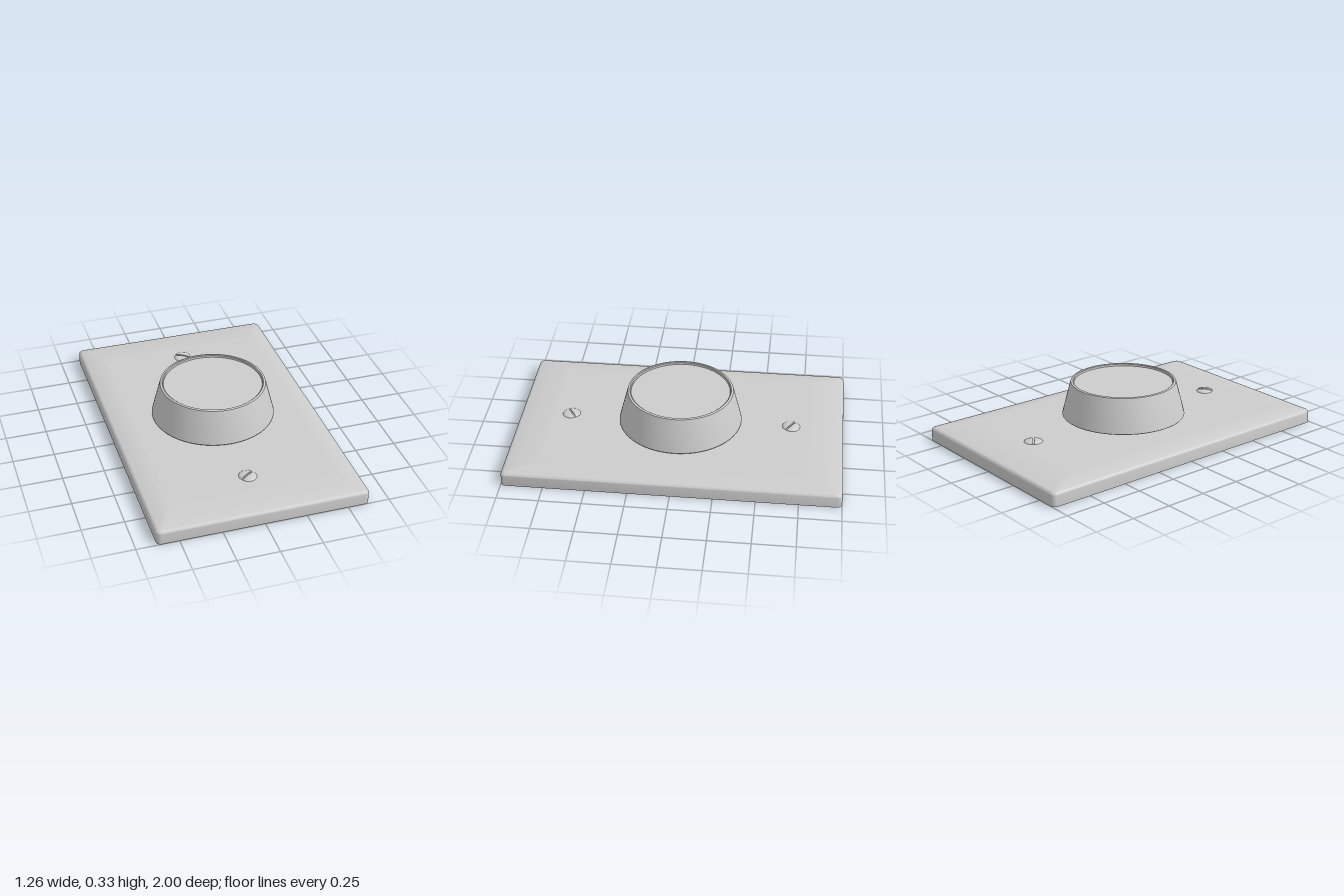
import * as THREE from 'three';
import { toCreasedNormals } from 'three/addons/utils/BufferGeometryUtils.js';

const grey = new THREE.MeshStandardMaterial({ color: 0xcccccc });
grey.name = 'light grey';

const SCREW_Z = 0.68;

function add(parent, name, geometry) {
  const mesh = new THREE.Mesh(geometry, grey);
  mesh.name = name;
  parent.add(mesh);
  return mesh;
}

const lathe = (points, segments = 64, start = 0, length = Math.PI * 2) =>
  toCreasedNormals(
    new THREE.LatheGeometry(points.map(([x, y]) => new THREE.Vector2(x, y)), segments, start, length), 0.6);

// One rounded rectangle in the horizontal plane, as a loop of points
function roundedLoop(hx, hz, y, r, steps = 6) {
  const loop = [];
  [[1, 1], [-1, 1], [-1, -1], [1, -1]].forEach(([sx, sz], corner) => {
    for (let i = 0; i <= steps; i++) {
      const a = (corner + i / steps) * Math.PI / 2;
      loop.push([sx * (hx - r) + r * Math.cos(a), y, sz * (hz - r) + r * Math.sin(a)]);
    }
  });
  return loop;
}

// Skin joining successive loops
function loft(loops) {
  const n = loops[0].length;
  const index = [];
  for (let i = 0; i < loops.length - 1; i++) {
    for (let j = 0; j < n; j++) {
      const a = i * n + j, b = i * n + (j + 1) % n;
      index.push(a, a + n, b, b, a + n, b + n);
    }
  }
  const g = new THREE.BufferGeometry();
  g.setAttribute('position', new THREE.Float32BufferAttribute(loops.flat(2), 3));
  g.setIndex(index);
  return toCreasedNormals(g, 0.6);
}

function makePlate() {
  const plate = new THREE.Group();
  plate.name = 'wallPlate';

  // Bevelled shell: inside skin down, round the rim, outside skin up (half x, half z, y, corner radius)
  add(plate, 'plateShell', loft([
    [0.50, 0.79, 0.083, 0.01],
    [0.52, 0.82, 0.083, 0.01],
    [0.605, 0.975, 0.066, 0.02],
    [0.615, 0.985, 0.058, 0.02],
    [0.615, 0.985, 0, 0.02],
    [0.63, 1, 0, 0.03],
    [0.63, 1, 0.066, 0.03],
    [0.628, 0.998, 0.074, 0.03],
    [0.623, 0.993, 0.08, 0.03],
    [0.612, 0.98, 0.084, 0.028],
    [0.57, 0.91, 0.095, 0.02],
    [0.52, 0.82, 0.104, 0.01],
    [0.50, 0.79, 0.105, 0.01],
  ].map(ring => roundedLoop(...ring))));

  // Flat centre panel with the two screw holes
  const shape = new THREE.Shape(
    roundedLoop(0.50, 0.79, 0, 0.01).map(([x, , z]) => new THREE.Vector2(x, z)));
  for (const s of [-1, 1]) {
    const hole = new THREE.Path();
    hole.absarc(0, s * SCREW_Z, 0.042, 0, Math.PI * 2, true);
    shape.holes.push(hole);
  }
  const panel = new THREE.ExtrudeGeometry(shape, { depth: 0.022, bevelEnabled: false, curveSegments: 32 });
  panel.rotateX(Math.PI / 2).translate(0, 0.105, 0);
  add(plate, 'platePanel', panel);

  // Round backing disc flush with the underside
  add(plate, 'backingDisc', new THREE.CylinderGeometry(0.28, 0.28, 0.003, 64)).position.y = 0.0825;
  return plate;
}

function makeKnob() {
  const knob = new THREE.Group();
  knob.name = 'knob';
  // Tapered body with a raised lip around the sunken top
  add(knob, 'knobBody', lathe([
    [0, 0.121], [0.373, 0.121], [0.375, 0.124],
    [0.324, 0.322], [0.321, 0.33], [0.315, 0.333],
    [0.308, 0.333], [0.303, 0.329], [0.301, 0.318], [0, 0.318],
  ], 96));
  add(knob, 'knobShaft', new THREE.CylinderGeometry(0.026, 0.026, 0.12, 24)).position.y = 0.065;
  return knob;
}

// Low domed screw head: two halves either side of a slot
function makeScrew(name, z, angle) {
  const screw = new THREE.Group();
  screw.name = name;
  const dome = [[0.05, 0], [0.046, 0.005], [0.035, 0.009], [0.018, 0.0115], [0, 0.012]];
  const cut = new THREE.Shape(
    [...dome, ...dome.slice(0, -1).reverse().map(([x, y]) => [-x, y])].map(p => new THREE.Vector2(...p)));
  for (const side of [0, 1]) {
    const half = new THREE.Group();
    half.name = 'screwHeadHalf';
    add(half, 'screwDome', lathe(dome, 24, -Math.PI / 2, Math.PI));
    add(half, 'slotWall', new THREE.ShapeGeometry(cut).rotateY(Math.PI));
    half.position.z = side ? -0.005 : 0.005;
    half.rotation.y = side * Math.PI;
    screw.add(half);
  }
  // Slot floor, also closing the hole from below
  add(screw, 'slotFloor', new THREE.CylinderGeometry(0.05, 0.05, 0.003, 32)).position.y = 0.0005;
  screw.position.set(0, 0.105, z);
  screw.rotation.y = angle;
  return screw;
}

export function createModel() {
  const model = new THREE.Group();
  model.name = 'rotaryDimmerSwitch';
  model.add(
    makePlate(),
    makeKnob(),
    makeScrew('backScrew', -SCREW_Z, -0.58),
    makeScrew('frontScrew', SCREW_Z, 0.58),
  );
  return model;
}
